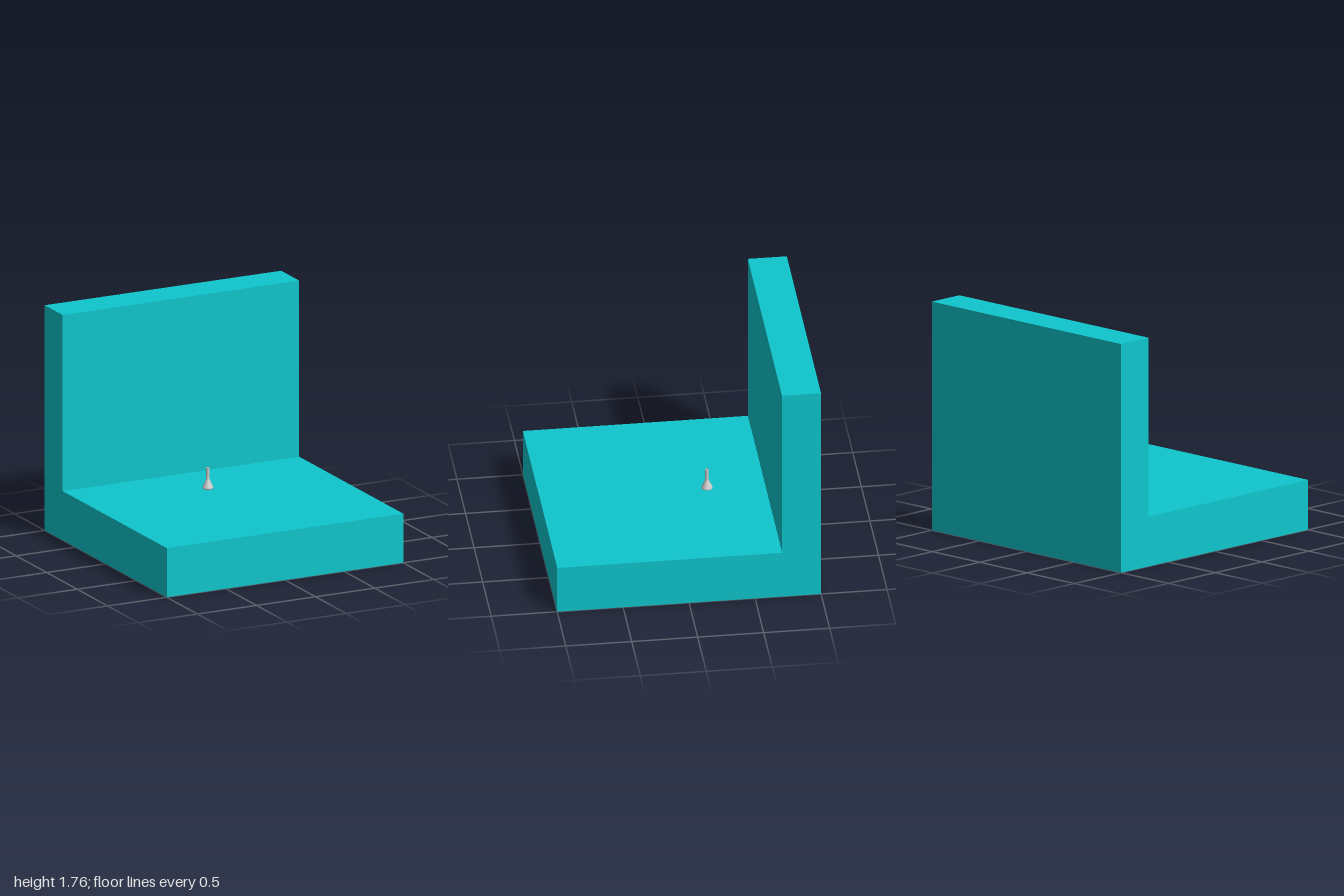
import * as THREE from 'three';

// Thin-walled box given by its bounds; faces listed in skip (0:+x 1:-x 2:+y 3:-y 4:+z 5:-z) are left open
function openBox(name, y1, z0, z1, skip, material) {
  const geo = new THREE.BoxGeometry(2, y1, z1 - z0);
  const index = Array.from(geo.index.array).filter((_, i) => !skip.includes(Math.floor(i / 6)));
  geo.setIndex(index);
  geo.clearGroups();
  geo.translate(0, y1 / 2, (z0 + z1) / 2);
  const mesh = new THREE.Mesh(geo, material);
  mesh.name = name;
  return mesh;
}

export function createModel() {
  const group = new THREE.Group();
  group.name = 'benchWithFlask';

  const teal = new THREE.MeshStandardMaterial({ color: 0x0ec6cc, side: THREE.DoubleSide });
  const grey = new THREE.MeshStandardMaterial({ color: 0xcccccc, side: THREE.DoubleSide });

  // Low base and tall back wall, hollow underneath, sharing one dividing wall
  group.add(openBox('base', 0.385, -0.705, 1, [3, 5], teal));
  group.add(openBox('backWall', 1.765, -1, -0.705, [3], teal));

  // Small conical flask: outer wall up to the lip, then the inner wall back down
  const profile = [
    [0, 0], [0.036, 0], [0.041, 0.003], [0.042, 0.008], [0.04, 0.015],
    [0.016, 0.068], [0.013, 0.08], [0.013, 0.156], [0.0145, 0.158], [0.0145, 0.164], [0.013, 0.166],
    [0.0105, 0.164], [0.0105, 0.08], [0.013, 0.067], [0.037, 0.013], [0.034, 0.004], [0, 0.004],
  ].map(([r, y]) => new THREE.Vector2(r, y));
  const flask = new THREE.Mesh(new THREE.LatheGeometry(profile, 32), grey);
  flask.name = 'flask';
  flask.position.set(0, 0.386, -0.265);
  group.add(flask);

  return group;
}
